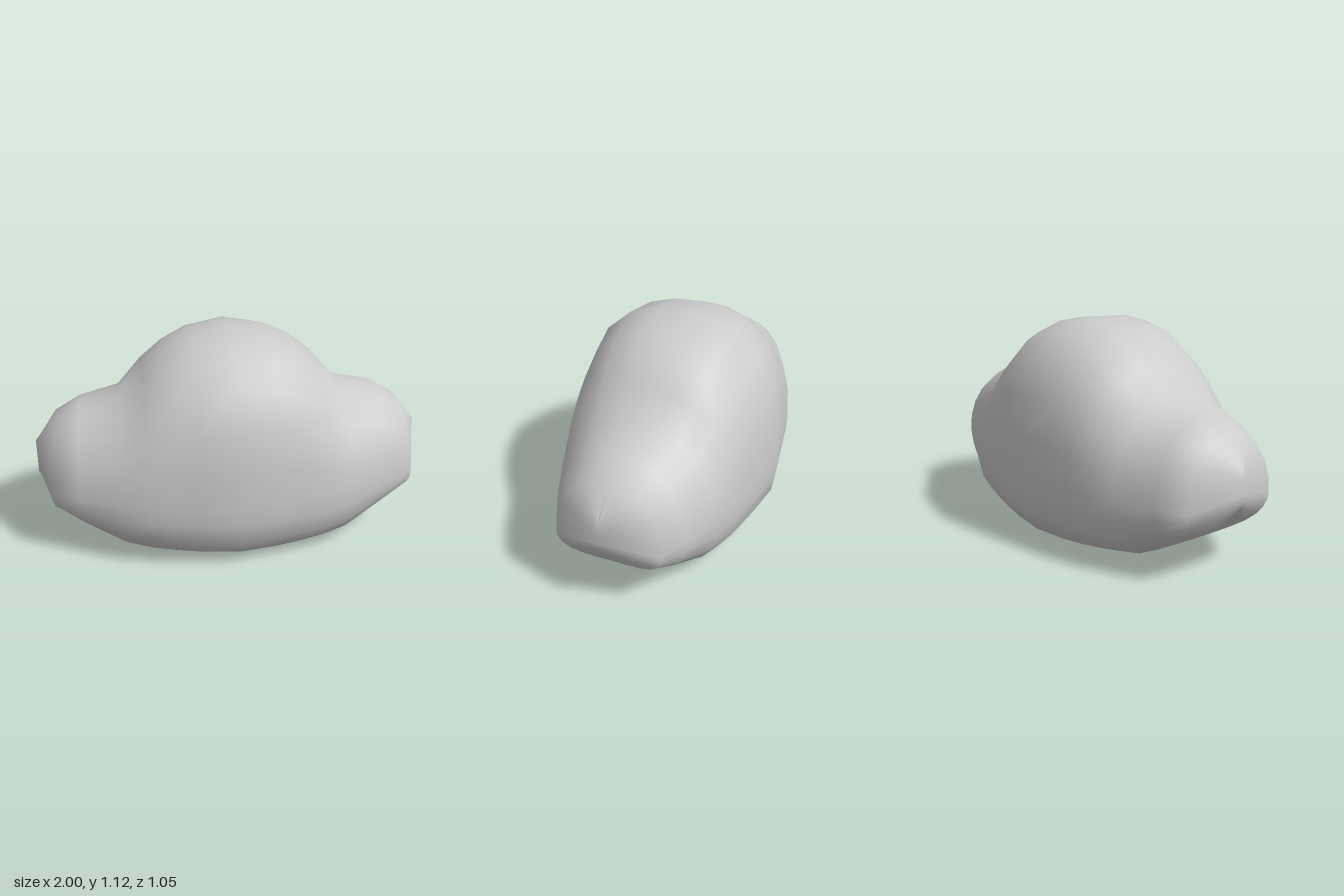
import * as THREE from 'three';
import { mergeVertices } from 'three/addons/utils/BufferGeometryUtils.js';

// Half of the cloud, centre to tip:
// x, bottom y, widest y, top y, half depth, top power, bottom power, outward bulge of the sides
const HALF = [
  [0, 0.003, 0.37, 1.12, 0.527, 2.8, 3.6, 0],
  [0.2, 0.004, 0.37, 1.09, 0.495, 2.7, 3.6, 0],
  [0.33, 0.014, 0.37, 1.03, 0.474, 2.5, 3.5, 0],
  [0.44, 0.03, 0.37, 0.94, 0.456, 2.3, 3.4, 0.01],
  [0.56, 0.05, 0.37, 0.803, 0.418, 2.1, 3.2, 0.02],
  [0.76, 0.16, 0.37, 0.765, 0.33, 2.1, 3, 0.03],
  [0.885, 0.235, 0.37, 0.69, 0.265, 2.2, 2.6, 0.038],
  [1, 0.37, 0.43, 0.55, 0, 2, 2, 0],
];
const SIDES = 24;

// Point on a rounded cross-section; the angle runs from the top towards the front
function sectionPoint([x, bottom, mid, top, depth, topPower, bottomPower, bulge], angle) {
  const c = Math.cos(angle), s = Math.sin(angle);
  const power = c > 0 ? topPower : bottomPower;
  const r = (Math.abs(c) ** power + Math.abs(s) ** power) ** (-1 / power);
  return [
    x + Math.sign(x) * bulge * s * s,
    mid + c * r * (c > 0 ? top - mid : mid - bottom),
    s * r * depth,
  ];
}

export function createModel() {
  const mirrored = HALF.slice(1).reverse().map(([x, ...rest]) => [-x, ...rest]);
  const sections = [...mirrored, ...HALF];
  const positions = [], indices = [];

  sections.forEach((section, i) => {
    for (let j = 0; j < SIDES; j++) {
      positions.push(...sectionPoint(section, (j / SIDES) * Math.PI * 2));
      if (i === sections.length - 1) continue;
      const a = i * SIDES + j, b = i * SIDES + ((j + 1) % SIDES);
      indices.push(a, b, a + SIDES, b, b + SIDES, a + SIDES);
    }
  });

  // Merging closes the tip seams so the shading stays smooth around the ends
  let geometry = new THREE.BufferGeometry();
  geometry.setAttribute('position', new THREE.Float32BufferAttribute(positions, 3));
  geometry.setIndex(indices);
  geometry = mergeVertices(geometry, 1e-4);
  geometry.computeVertexNormals();

  const cloud = new THREE.Mesh(geometry, new THREE.MeshStandardMaterial({ color: 0xcccccc }));
  cloud.name = 'cloud';
  const group = new THREE.Group();
  group.name = 'cloudModel';
  group.add(cloud);
  return group;
}
